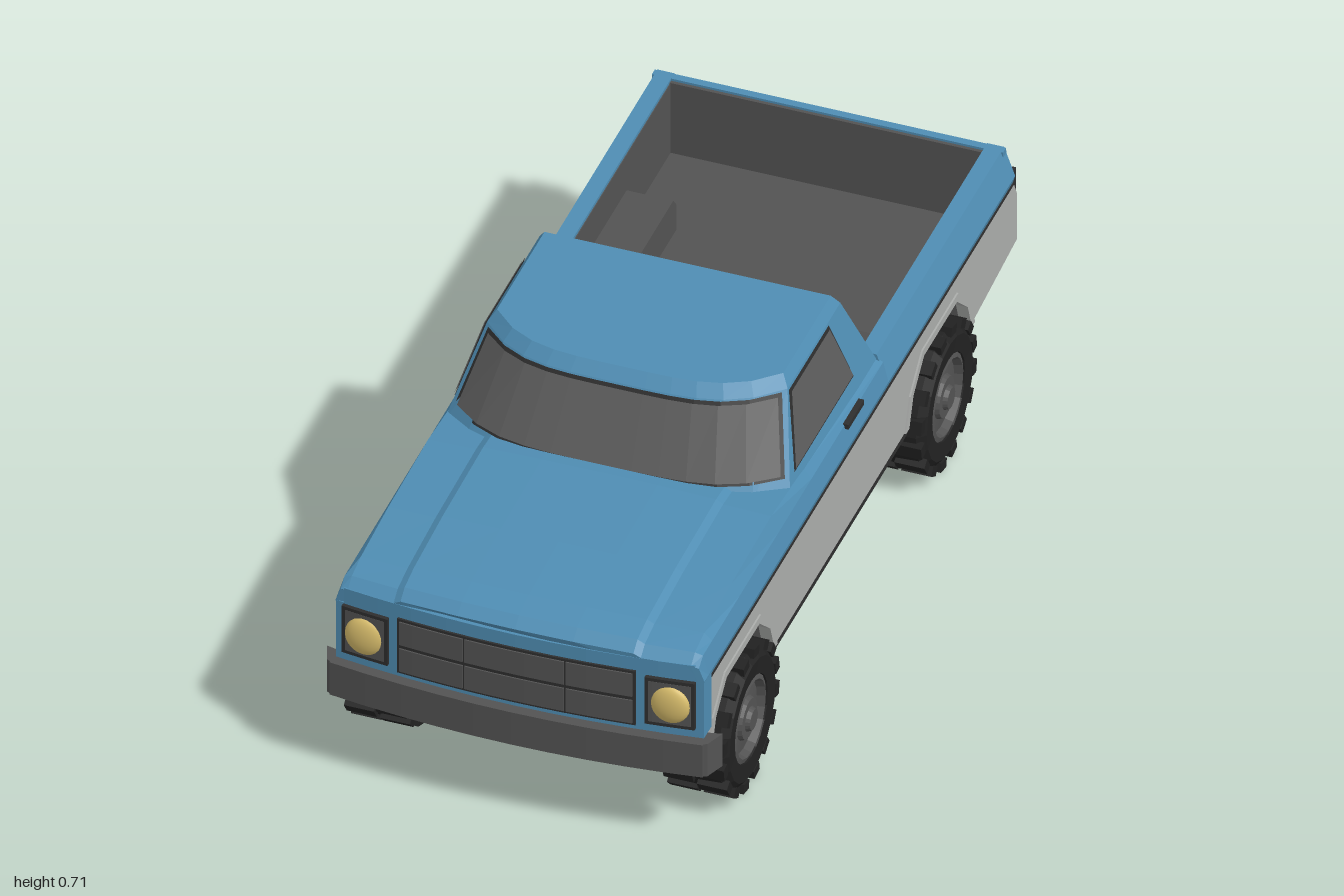
import * as THREE from 'three';

const mat = (name, color, flatShading = true) => new THREE.MeshStandardMaterial({ name, color, flatShading, side: THREE.DoubleSide });

export function createModel() {
  const truck = new THREE.Group();
  truck.name = 'pickupTruck';
  const blue = mat('bluePaint', 0x4f8db3), silver = mat('greyPaint', 0xacaeac);
  const dark = mat('darkGrey', 0x535353), glass = mat('glass', 0x5c5c5c);
  const black = mat('black', 0x2e2e2e), rubber = mat('rubber', 0x222222);
  const amber = mat('headlightYellow', 0xd8bd6c, false), clear = mat('tailLampWhite', 0xb8bcbc, false);

  const add = (name, geo, material, parent = truck) => {
    const m = new THREE.Mesh(geo, material);
    m.name = name;
    parent.add(m);
    return m;
  };
  // box given by its centre and size
  const box = (name, material, [x, y, z], [w, h, d]) =>
    add(name, new THREE.BoxGeometry(w, h, d).translate(x, y, z), material);
  // box whose z falls away from the centre line
  const bowedBox = (name, material, [x, y, z], [w, h, d], k) => {
    const g = new THREE.BoxGeometry(w, h, d, 10, 1, 1).translate(x, y, z), p = g.attributes.position;
    for (let i = 0; i < p.count; i++) p.setZ(i, p.getZ(i) - k * p.getX(i) ** 2);
    return add(name, g, material);
  };
  // skin over rings of [x, y, z] points, optionally closed and capped
  const loft = (rings, closed = true) => {
    const n = rings[0].length, idx = [];
    for (let r = 0; r < rings.length - 1; r++)
      for (let i = 0; i < (closed ? n : n - 1); i++) {
        const a = r * n + i, b = r * n + (i + 1) % n;
        idx.push(a, b, b + n, a, b + n, a + n);
      }
    const e = (rings.length - 1) * n;
    if (closed) for (let i = 1; i < n - 1; i++) idx.push(0, i + 1, i, e, e + i, e + i + 1);
    const g = new THREE.BufferGeometry();
    g.setAttribute('position', new THREE.Float32BufferAttribute(rings.flat(2), 3));
    g.setIndex(idx);
    const flat = g.toNonIndexed();
    flat.computeVertexNormals();
    return flat;
  };
  // side outline of [z, y] points, extruded from x0 to x1
  const slab = (pts, x0, x1) =>
    new THREE.ExtrudeGeometry(new THREE.Shape(pts.map(p => new THREE.Vector2(...p))), { depth: x1 - x0, bevelEnabled: false })
      .rotateY(-Math.PI / 2).translate(x1, 0, 0);
  const both = f => [1, -1].forEach(s => f(s, s > 0 ? 'left' : 'right'));

  const AXLES = [-0.51, 0.69], ARCH = [[-0.19, 0.22], [-0.165, 0.29], [-0.1, 0.35], [0.1, 0.35], [0.165, 0.29], [0.19, 0.22]];
  const arch = c => ARCH.map(([z, y]) => [c + z, y]);

  // lower grey sides with wheel arches and flares
  const lower = [[-0.985, 0.25], ...arch(AXLES[0]), ...arch(AXLES[1]), [0.925, 0.215], [0.93, 0.42], [-0.96, 0.42], [-0.985, 0.37]];
  both((s, side) => {
    const at = (a, b) => s > 0 ? [a, b] : [-b, -a];
    add(side + 'LowerPanel', slab(lower, ...at(0.385, 0.408)), silver);
    for (const c of AXLES) {
      const outer = [[-0.21, 0.22], [-0.182, 0.298], [-0.108, 0.368], [0.108, 0.368], [0.182, 0.298], [0.21, 0.22]].map(([z, y]) => [c + z, y]);
      add(side + 'ArchFlare', slab([...outer, ...arch(c).reverse()], ...at(0.395, 0.412)), silver);
    }
    box(side + 'Sill', black, [s * 0.39, 0.215, 0.09], [0.034, 0.022, 0.82]);
    box(side + 'TrimLine', black, [s * 0.407, 0.418, -0.015], [0.01, 0.006, 1.88]);
    box(side + 'DoorHandle', black, [s * 0.403, 0.488, 0.005], [0.02, 0.012, 0.095]);
    // underbody outside the frame, open around the wheels
    for (const [z0, z1] of [[-0.975, -0.7], [-0.32, 0.5], [0.88, 0.92]])
      add(side + 'Underbody', slab([[z0, z0 < -0.9 ? 0.25 : 0.217], [z1, 0.217], [z1, 0.312], [z0, 0.312]], ...at(0.27, 0.39)), dark);
    box(side + 'FrontWheelWell', dark, [s * 0.325, 0.38, 0.69], [0.13, 0.05, 0.42]);
  });
  add('underbody', slab([[-0.975, 0.25], [-0.7, 0.217], [0.92, 0.217], [0.92, 0.312], [-0.975, 0.312]], -0.27, 0.27), dark);

  // bonnet, wings and doors: [z, bonnet height, bow]
  const stations = [[-0.185, 0.51, 0], [0.25, 0.525, 0], [0.45, 0.54, 0], [0.7, 0.533, 0.06], [0.88, 0.52, 0.15], [0.94, 0.508, 0.18], [0.965, 0.488, 0.18]];
  add('bonnetAndDoors', loft(stations.map(([z, h, k]) => {
    const half = [[0.408, 0.415], [0.415, 0.44], [0.403, Math.min(0.49, h - 0.015)], [0.386, h - 0.012], [0.278, h - 0.009], [0.262, h], [0.13, h + 0.003]];
    const ring = [...half, [0, h + 0.004], ...half.map(([x, y]) => [-x, y]).reverse()];
    return ring.map(([x, y]) => [x, y, z - k * x * x]);
  })), blue);

  // cab: front and back edges and half width change with height
  const LEVELS = [[0.5, 0.39, 0.445, 4.3, -0.178], [0.69, 0.338, 0.325, 8, -0.1], [0.715, 0.322, 0.3, 9, -0.085]];
  const cabAt = y => {
    const t = (y - 0.5) / 0.19;
    return LEVELS[0].map((v, i) => v + (LEVELS[1][i] - v) * t);
  };
  const front = (w, zf, k, y) => Array.from({ length: 13 }, (_, i) => {
    const x = w * (i / 6 - 1);
    return [x, y, zf - k * x ** 4];
  });
  add('cab', loft(LEVELS.map(([y, w, zf, k, zb]) => [...front(w, zf, k, y), [w, y, zb], [-w, y, zb]])), blue);

  // windows: black surround with the pane just above it
  for (const [name, material, m, off] of [['Surround', black, 0, 0.003], ['Pane', glass, 0.006, 0.006]]) {
    const ys = [0.537 + m, 0.688 - m];
    add('windscreen' + name, loft(ys.map(y => {
      const [, w, zf, k] = cabAt(y);
      return front(w - 0.008 - m, zf + off, k, y);
    }), false), material);
    add('rearWindow' + name, loft(ys.map(y => {
      const [, w, , , zb] = cabAt(y);
      return [[w - 0.03 - m, y, zb - off], [-w + 0.03 + m, y, zb - off]];
    }), false), material);
    both((s, side) => add(side + 'Window' + name, loft(ys.map((y, i) => {
      const x = s * (cabAt(y)[1] + off);
      const row = (i ? [0.222 - m, -0.02 + m] : [0.3 - m, -0.06 + m]).map(z => [x, y, z]);
      return s > 0 ? row : row.reverse();
    }), false), material));
  }

  // bed: rails, tailgate and dark lining
  both((s, side) => {
    const rail = [[0.352, 0.4], [0.408, 0.415], [0.415, 0.44], [0.39, 0.51], [0.352, 0.51]];
    const ring = s > 0 ? rail : rail.map(([x, y]) => [-x, y]).reverse();
    add(side + 'BedRail', loft([-0.955, -0.18].map(z => ring.map(([x, y]) => [x, y, z]))), blue);
    box(side + 'BedLining', dark, [s * 0.355, 0.41, -0.56], [0.01, 0.185, 0.75]);
    const hump = [[-0.68, 0.318], [-0.35, 0.318], [-0.35, 0.385], [-0.37, 0.41], [-0.66, 0.41], [-0.68, 0.385]];
    add(side + 'WheelHump', slab(hump, ...(s > 0 ? [0.245, 0.352] : [-0.352, -0.245])), dark);
  });
  box('bedFloor', dark, [0, 0.315, -0.56], [0.77, 0.01, 0.76]);
  box('bedFrontLining', dark, [0, 0.411, -0.188], [0.71, 0.187, 0.01]);
  box('bedRearLining', dark, [0, 0.411, -0.932], [0.71, 0.187, 0.01]);
  add('tailgateTop', slab([[-0.935, 0.43], [-0.969, 0.43], [-0.953, 0.51], [-0.935, 0.51]], -0.395, 0.395), blue);
  add('tailgatePanel', slab([[-0.94, 0.3], [-0.978, 0.3], [-0.978, 0.36], [-0.968, 0.432], [-0.94, 0.432]], -0.4, 0.4), silver);
  box('rearBumper', dark, [0, 0.305, -0.977], [0.812, 0.11, 0.026]);
  box('rearPlate', black, [0, 0.32, -0.992], [0.22, 0.1, 0.016]);
  both((s, side) => {
    box(side + 'TailLampFrame', black, [s * 0.366, 0.378, -0.972], [0.076, 0.112, 0.038]);
    box(side + 'TailLampRecess', dark, [s * 0.366, 0.378, -0.991], [0.06, 0.092, 0.004]);
    add(side + 'TailLamp', new THREE.SphereGeometry(0.03, 16, 10).scale(1, 1.1, 0.2).translate(s * 0.366, 0.38, -0.991), clear);
  });

  // nose: panel, grille, headlights and bumper
  bowedBox('nosePanel', blue, [0, 0.365, 0.942], [0.828, 0.15, 0.046], 0.18);
  bowedBox('noseTop', blue, [0, 0.458, 0.942], [0.79, 0.04, 0.046], 0.18);
  bowedBox('grilleSurround', black, [0, 0.374, 0.962], [0.536, 0.142, 0.016], 0.18);
  for (const y of [0.339, 0.409])
    for (const [x, w] of [[-0.189, 0.146], [0, 0.224], [0.189, 0.146]])
      bowedBox('grillePanel', dark, [x, y, 0.969], [w, 0.06, 0.008], 0.18);
  both((s, side) => {
    bowedBox(side + 'HeadlightFrame', black, [s * 0.343, 0.376, 0.962], [0.108, 0.122, 0.024], 0.18);
    bowedBox(side + 'HeadlightRecess', dark, [s * 0.343, 0.376, 0.972], [0.092, 0.106, 0.005], 0.18);
    add(side + 'Headlight', new THREE.SphereGeometry(0.045, 20, 12).scale(1, 1.05, 0.4).translate(s * 0.343, 0.374, 0.95), amber);
    // bumper end swept back
    const end = [[0.415, 0.957], [0.428, 0.95], [0.445, 0.905], [0.415, 0.912]].map(([x, z]) => [s * x, z]);
    if (s > 0) end.reverse();
    add(side + 'BumperEnd', loft([0.2055, 0.2905].map(y => end.map(([x, z]) => [x, y, z]).reverse())), dark);
  });
  bowedBox('frontBumper', dark, [0, 0.248, 0.966], [0.84, 0.085, 0.048], 0.18);

  // wheels: tyre, staggered tread lugs, stepped rim
  const lathe = pts => new THREE.LatheGeometry(pts.map(p => new THREE.Vector2(...p)), 20).rotateZ(-Math.PI / 2);
  const tyre = lathe([[0.09, -0.07], [0.14, -0.073], [0.16, -0.055], [0.163, 0], [0.16, 0.055], [0.14, 0.073], [0.1, 0.07], [0.095, 0.05]]);
  const rim = lathe([[0.1, 0.066], [0.088, 0.07], [0.082, 0.052], [0.05, 0.056], [0.046, 0.066], [0.028, 0.066], [0.024, 0.076], [0, 0.076]]);
  const back = lathe([[0, -0.06], [0.095, -0.066]]);
  for (const z of AXLES) both((s, side) => {
    const wheel = new THREE.Group();
    wheel.name = side + (z > 0 ? 'FrontWheel' : 'RearWheel');
    wheel.position.set(s * 0.36, 0.173, z);
    if (s < 0) wheel.rotation.y = Math.PI;
    add('tyre', tyre, rubber, wheel);
    add('rim', rim, dark, wheel);
    add('wheelBack', back, black, wheel);
    for (let i = 0; i < 32; i++) {
      const g = new THREE.BoxGeometry(0.068, 0.022, 0.032).translate(i % 2 ? 0.037 : -0.037, 0.16, 0);
      add('treadLug', g.rotateX(i * Math.PI / 16), rubber, wheel);
    }
    truck.add(wheel);
  });
  return truck;
}
